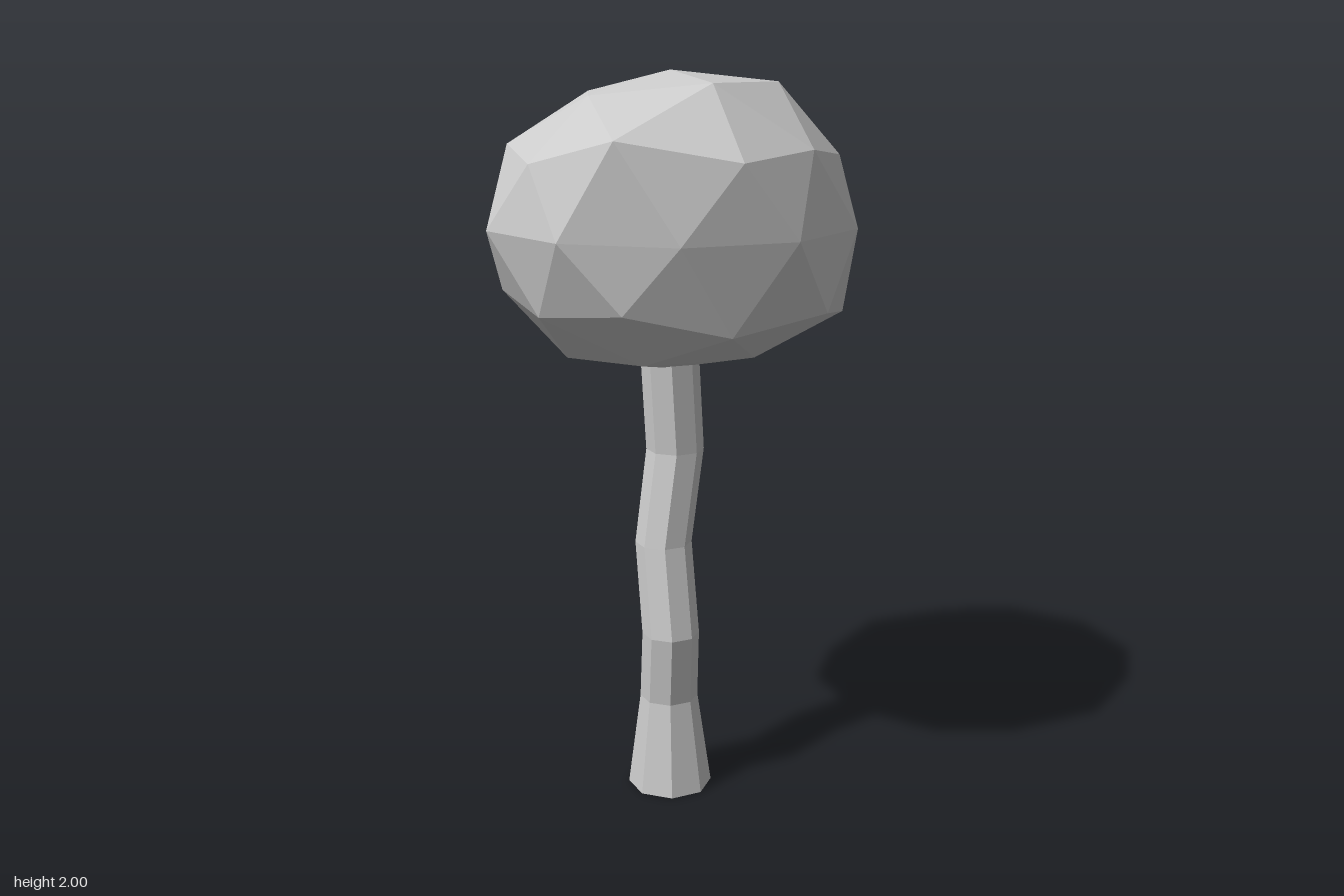
import * as THREE from 'three';

const material = new THREE.MeshStandardMaterial({ color: 0xcccccc, flatShading: true });

// Rewrite every vertex of a geometry by a rule
function moveVertices(geometry, rule) {
  const pos = geometry.attributes.position;
  const v = new THREE.Vector3();
  for (let i = 0; i < pos.count; i++) {
    rule(v.fromBufferAttribute(pos, i));
    pos.setXYZ(i, v.x, v.y, v.z);
  }
  geometry.computeVertexNormals();
  return geometry;
}

// Crooked eight-sided trunk: each ring is [height, centre x, centre z, radius]
function createTrunk() {
  const rings = [
    [0, 0, -0.01, 0.118],
    [0.27, -0.003, -0.005, 0.081],
    [0.475, 0, 0.033, 0.079],
    [0.73, -0.018, -0.005, 0.078],
    [0.99, 0.015, -0.028, 0.079],
    [1.25, 0, -0.01, 0.079],
  ];
  const n = rings.length - 1;
  const geometry = moveVertices(new THREE.CylinderGeometry(1, 1, n, 8, n), (v) => {
    const [y, x, z, r] = rings[Math.round(v.y + n / 2)];
    v.set(x + v.x * r, y, z + v.z * r);
  });
  const mesh = new THREE.Mesh(geometry, material);
  mesh.name = 'trunk';
  return mesh;
}

// Faceted crown: squashed icosphere with a few corners pulled out of place
function createCrown() {
  const geometry = new THREE.IcosahedronGeometry(1, 1);
  geometry.rotateX(-Math.atan((1 + Math.sqrt(5)) / 2)); // one corner at the top
  geometry.rotateY(Math.PI / 2);
  geometry.scale(0.495, 0.39, 0.495);
  geometry.translate(0, 1.61, -0.006);

  const pulled = [
    [-0.155, 1.853, 0.465],
    [0.15, 1.8, 0.45],
    [0.28, 1.97, -0.01],
    [0.09, 1.975, 0.255],
    [0.325, 1.61, -0.46],
    [-0.155, 1.4, -0.475],
    [0.463, 1.37, -0.01],
    [-0.275, 1.25, -0.01],
    [0.13, 1.38, 0.41],
    [0.38, 1.415, 0.27],
  ].map((p) => new THREE.Vector3(...p));

  moveVertices(geometry, (v) => {
    const target = pulled.find((p) => p.distanceTo(v) < 0.1);
    if (target) v.copy(target);
  });
  const mesh = new THREE.Mesh(geometry, material);
  mesh.name = 'crown';
  return mesh;
}

export function createModel() {
  const tree = new THREE.Group();
  tree.name = 'tree';
  tree.add(createTrunk(), createCrown());
  return tree;
}
